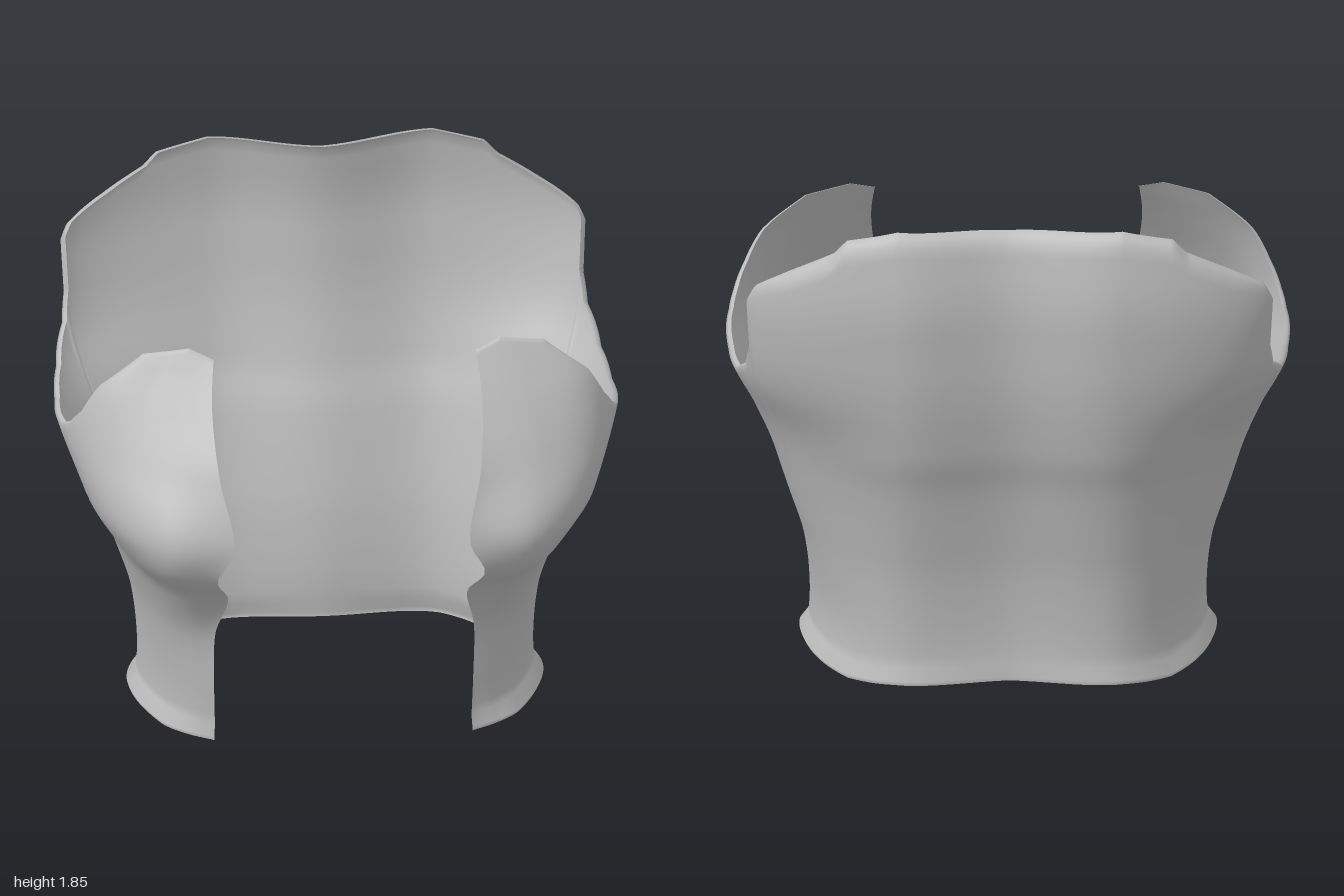
import * as THREE from 'three';

const cloth = new THREE.MeshStandardMaterial({ color: 0xbcbcbc, side: THREE.DoubleSide });
cloth.name = 'grey cloth';

// Horizontal section, mirrored. Positions round each half: 0 spine, 1 shoulder blade,
// 2 back corner, 3 side, 4 front corner, 5 middle of the front panel, 6 front edge
const HALF = 6;
function section(y, backZ, cornerX, cornerZ, sideX, frontX, frontZ, edgeX, edgeZ) {
  const groove = 0.035 * y;
  const bulge = 0.012 + 0.095 * Math.exp(-(((y - 0.9) / 0.28) ** 2));
  const left = [[0, backZ + groove], [0.4, backZ], [cornerX, cornerZ], [sideX, 0], [frontX, frontZ],
    [(frontX + edgeX) / 2 + bulge * 0.2, (frontZ + edgeZ) / 2 + bulge], [edgeX, edgeZ]]
    .map(([x, z]) => new THREE.Vector3(x, y, z));
  const right = left.slice(1).reverse().map(p => new THREE.Vector3(-p.x, y, p.z));
  return { y, curve: new THREE.CatmullRomCurve3([...right, ...left]) };
}

// Hem, waist, ribs, bust, chest, shoulders
const sections = [
  section(0.03, -.48, .63, -.28, .705, .61, .22, .45, .335),
  section(0.2, -.48, .62, -.28, .695, .61, .23, .455, .355),
  section(0.45, -.51, .66, -.30, .72, .64, .27, .455, .40),
  section(0.66, -.56, .72, -.32, .785, .70, .34, .42, .54),
  section(0.82, -.605, .76, -.35, .84, .79, .40, .47, .70),
  section(0.95, -.655, .80, -.38, .90, .85, .46, .415, .735),
  section(1.2, -.715, .89, -.49, 1, .90, .38, .46, .65),
  section(1.4, -.74, .91, -.54, 1, .86, .345, .475, .51),
  section(1.57, -.75, .92, -.55, 1, .74, .31, .46, .395),
  section(1.85, -.72, .82, -.57, .98, .62, .26, .45, .30),
];

// Edge heights and rim width, as [position, value]
const topEdge = [[0, 1.83], [1, 1.85], [1.38, 1.81], [1.45, 1.76], [1.95, 1.6], [2, 1.55], [2.025, 1.36], [2.1, 1.26],
  [2.4, 1.175], [2.8, 1.155], [3.4, 1.19], [3.6, 1.23], [3.82, 1.31], [3.97, 1.42], [4.4, 1.54], [5.4, 1.57], [6, 1.54]];
const hemEdge = [[0, .04], [1, .03], [1.6, .012], [3, .045], [4, .015], [6, 0]];
const rimWidth = [[0, .055], [1.7, .05], [2, .02], [6, .015]];

function lookup(table, u) {
  const i = Math.max(1, table.findIndex(p => p[0] >= u));
  const [u0, a] = table[i - 1], [u1, b] = table[i];
  return a + (b - a) * (u - u0) / (u1 - u0);
}

// Upright curve through all sections at one position round the body
function columnAt(u) {
  const t = (u + HALF) / (2 * HALF), last = sections.length - 1;
  const curve = new THREE.CatmullRomCurve3(sections.map(s => s.curve.getPoint(t)));
  return y => {
    let k = 0;
    while (k < last - 1 && sections[k + 1].y < y) k++;
    const f = (y - sections[k].y) / (sections[k + 1].y - sections[k].y);
    return curve.getPoint(THREE.MathUtils.clamp((k + f) / last, 0, 1)).setY(y);
  };
}

// Smooth surface from a list of columns, each running upwards
function sheet(name, columns) {
  const rows = columns[0].length, index = [];
  for (let i = 0; i < columns.length - 1; i++) {
    for (let j = 0; j < rows - 1; j++) {
      const a = i * rows + j, b = a + rows;
      index.push(a, a + 1, b, b, a + 1, b + 1);
    }
  }
  const geo = new THREE.BufferGeometry().setFromPoints(columns.flat());
  geo.setIndex(index);
  geo.computeVertexNormals();
  const mesh = new THREE.Mesh(geo, cloth);
  mesh.name = name;
  return mesh;
}

export function createModel() {
  const group = new THREE.Group();
  group.name = 'openVest';
  const columns = [];
  const steps = 240, rows = 40, up = new THREE.Vector3(0, 1, 0);

  for (let i = -steps; i <= steps; i++) {
    const u = i / steps * HALF, au = Math.abs(u);
    const at = columnAt(u), width = lookup(rimWidth, au);
    const top = lookup(topEdge, au) - width * 0.7, hem = lookup(hemEdge, au) + 0.06;
    const wall = [];
    for (let j = 0; j <= rows; j++) wall.push(at(hem + (top - hem) * j / rows));

    // The hem flares outwards and the upper rim curls inwards, square to the wall
    const before = columnAt(Math.max(u - 0.01, -HALF)), after = columnAt(Math.min(u + 0.01, HALF));
    const move = (p, depth, rise) => {
      const inward = after(p.y).sub(before(p.y)).cross(up).normalize();
      return p.clone().addScaledVector(inward, depth).addScaledVector(up, rise);
    };
    const flare = 0.006 + 0.026 * Math.sin(Math.PI * au / HALF);
    columns.push([
      move(wall[0], -flare * 0.8, -0.06), move(wall[0], -flare, -0.045),
      ...wall,
      move(wall[rows], width * 0.4, width * 0.5), move(wall[rows], width, width * 0.7),
    ]);
  }

  group.add(sheet('vestBody', columns));
  return group;
}
